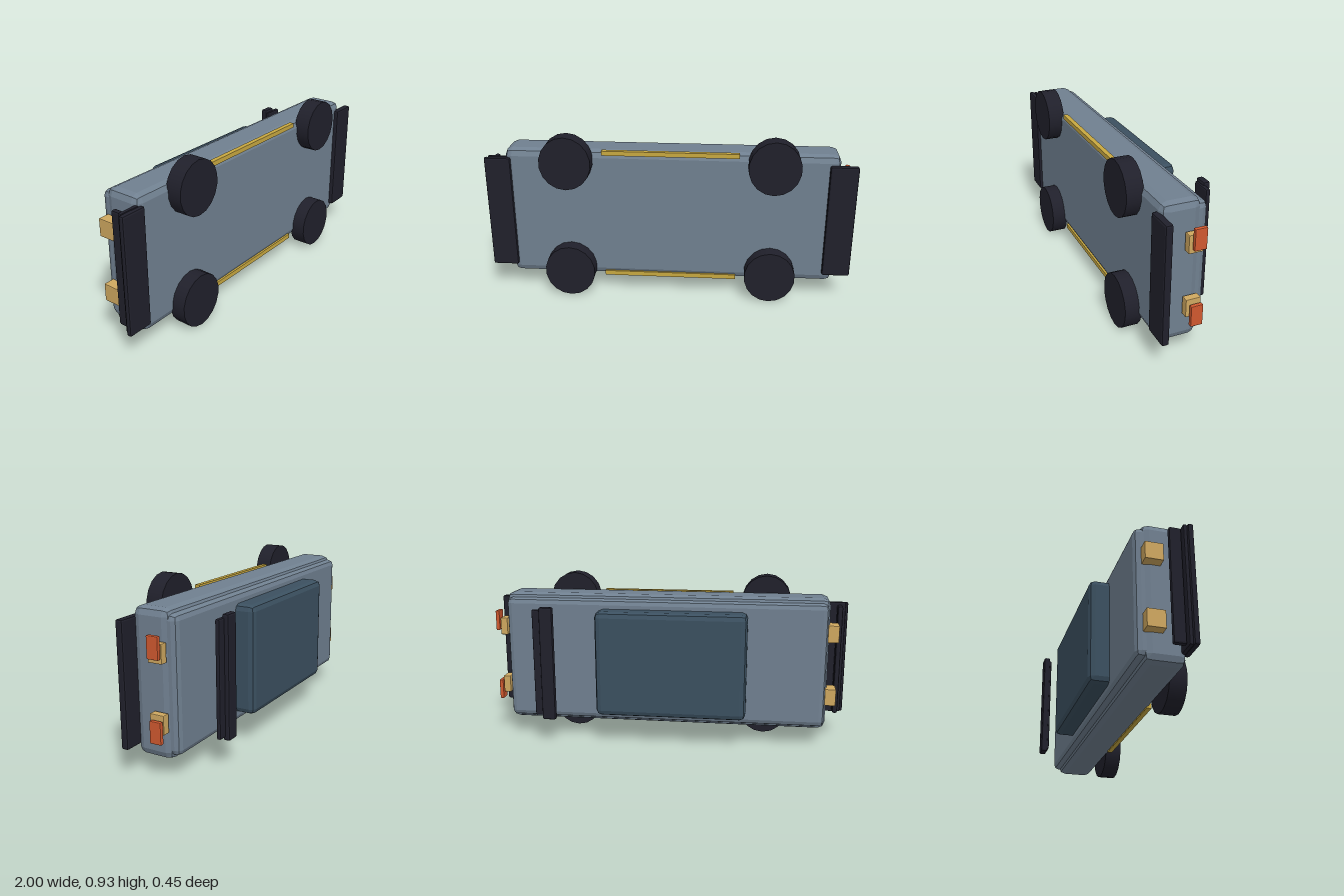
import * as THREE from 'three';
import { RoundedBoxGeometry } from 'three/addons/geometries/RoundedBoxGeometry.js';

const mat = (name, color) => {
  const m = new THREE.MeshStandardMaterial({ color });
  m.name = name;
  return m;
};

export function createModel() {
  const car = new THREE.Group();
  car.name = 'car';
  const paint = mat('slate paint', 0x708090);
  const glass = mat('dark teal glass', 0x3b5060);
  const black = mat('black trim', 0x20202b);
  const gold = mat('gold trim', 0xc8a840);
  const lamp = mat('amber lamp', 0xcfa860);
  const red = mat('orange red lamp', 0xd0582f);

  // Box given by its limits on each axis; r > 0 makes faceted rounded edges
  function box(name, material, x, y, z, r = 0, segments = 1) {
    const size = [x, y, z].map(([a, b]) => b - a);
    const geo = r ? new RoundedBoxGeometry(...size, segments, r) : new THREE.BoxGeometry(...size);
    if (r) geo.computeVertexNormals();
    const mesh = new THREE.Mesh(geo, material);
    mesh.position.set((x[0] + x[1]) / 2, (y[0] + y[1]) / 2, (z[0] + z[1]) / 2);
    mesh.name = name;
    car.add(mesh);
  }

  // The car rests on its side: length along x, width along y, roof towards -z
  box('lowerBody', paint, [-0.89, 0.91], [0.095, 0.833], [-0.057, 0.15], 0.04);
  box('upperDeck', paint, [-0.88, 0.9], [0.12, 0.808], [-0.09, 0.0], 0.03);
  box('cabin', glass, [-0.45, 0.38], [0.17, 0.757], [-0.195, -0.03], 0.032);

  // Wheels
  for (const x of [-0.547, 0.56]) {
    for (const y of [0.147, 0.78]) {
      const geo = new THREE.CylinderGeometry(0.146, 0.146, 0.09, 18).rotateX(Math.PI / 2);
      geo.scale(0.95, 1, 1);
      const wheel = new THREE.Mesh(geo, black);
      wheel.position.set(x, y, 0.181);
      wheel.name = 'wheel';
      car.add(wheel);
    }
  }

  // Side sills
  box('sill', gold, [-0.36, 0.375], [0.095, 0.121], [0.13, 0.156]);
  box('sill', gold, [-0.36, 0.375], [0.81, 0.835], [0.13, 0.156]);

  // Nose splitter, its backing plate and bumper bar
  box('noseSplitter', black, [-1, -0.857], [0.147, 0.785], [0.138, 0.167], 0.01);
  box('noseSplitterPlate', black, [-0.985, -0.87], [0.15, 0.788], [0.12, 0.142], 0.008);
  box('noseBar', black, [-0.965, -0.936], [0.16, 0.775], [0.055, 0.118], 0.01);

  // Tail diffuser
  box('tailDiffuser', black, [0.85, 1], [0.147, 0.782], [0.136, 0.175], 0.01);

  // Spoiler
  box('spoilerWing', black, [0.6, 0.675], [0.147, 0.782], [-0.227, -0.19], 0.01);
  box('spoilerBlade', black, [0.605, 0.72], [0.165, 0.765], [-0.204, -0.18], 0.008);

  // Lamps, mirrored about the centre line at y = 0.464
  for (const s of [-1, 1]) {
    const span = (offset, half) => [0.464 + s * offset - half, 0.464 + s * offset + half];
    box('headlamp', lamp, [-0.94, -0.88], span(0.178, 0.047), [-0.058, 0.035], 0.004);
    box('tailLampBase', lamp, [0.915, 0.955], span(0.171, 0.048), [-0.045, 0.033], 0.004);
    box('tailLamp', red, [0.96, 0.982], span(0.204, 0.056), [-0.045, 0.018], 0.004);
  }
  return car;
}
